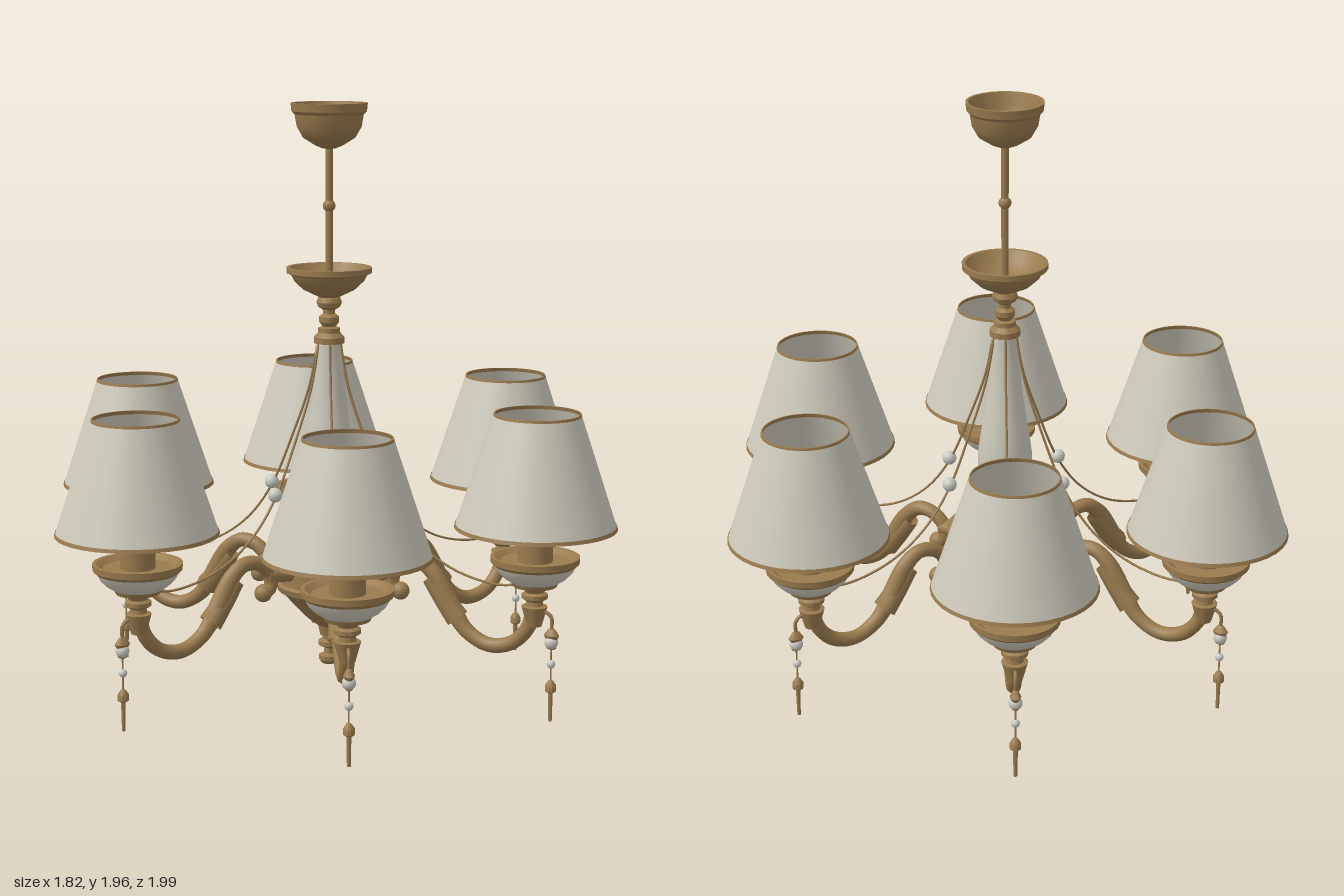
import * as THREE from 'three';
import { toCreasedNormals } from 'three/addons/utils/BufferGeometryUtils.js';

const mat = (name, color) => {
  const m = new THREE.MeshStandardMaterial({ color, side: THREE.DoubleSide });
  m.name = name;
  return m;
};

export function createModel() {
  const brass = mat('antique brass', 0x9a7b4e);
  const cream = mat('cream fabric and porcelain', 0xcdcabb);
  const crystal = mat('crystal and glass', 0xcacac4);

  const add = (parent, name, geo, material, x = 0, y = 0, z = 0) => {
    const mesh = new THREE.Mesh(geo, material);
    mesh.name = name;
    mesh.position.set(x, y, z);
    parent.add(mesh);
    return mesh;
  };
  // Turned part from [radius, height] pairs, listed bottom to top on the outside
  const lathe = (pts, sides = 28) =>
    toCreasedNormals(new THREE.LatheGeometry(pts.map(p => new THREE.Vector2(p[0], p[1])), sides), 0.6);
  // Curve in the x-y plane
  const curve = pts => new THREE.CatmullRomCurve3(pts.map(p => new THREE.Vector3(p[0], p[1], 0)));
  // Tube whose radius follows a rule along its length
  const taperedTube = (path, segs, sides, radius) => {
    const geo = new THREE.TubeGeometry(path, segs, 1, sides);
    const pos = geo.attributes.position, v = new THREE.Vector3();
    for (let i = 0; i < pos.count; i++) {
      const t = Math.floor(i / (sides + 1)) / segs;
      const c = path.getPointAt(t);
      v.fromBufferAttribute(pos, i).sub(c).multiplyScalar(radius(t)).add(c);
      pos.setXYZ(i, v.x, v.y, v.z);
    }
    return geo;
  };

  const model = new THREE.Group();
  model.name = 'chandelier';
  const column = new THREE.Group();
  column.name = 'centralColumn';
  column.position.set(-0.003, 0, -0.012);
  model.add(column);

  // Ceiling canopy, an open cup
  add(column, 'canopy', lathe([[0, 1.81], [0.02, 1.81], [0.045, 1.82], [0.085, 1.845], [0.105, 1.88],
    [0.112, 1.92], [0.122, 1.93], [0.125, 1.957], [0.116, 1.957], [0.105, 1.92], [0.095, 1.88],
    [0.07, 1.85], [0, 1.835]]), brass);
  add(column, 'rod', new THREE.CylinderGeometry(0.012, 0.012, 0.48, 12), brass, 0, 1.58, 0);
  add(column, 'rodKnob', new THREE.SphereGeometry(0.021, 12, 8), brass, 0, 1.625, 0);

  // Upper dish and its turned neck
  add(column, 'upperDish', lathe([[0.03, 1.325], [0.05, 1.335], [0.085, 1.352], [0.115, 1.38], [0.125, 1.4],
    [0.14, 1.407], [0.14, 1.425], [0.128, 1.425], [0.105, 1.39], [0.07, 1.362], [0, 1.355]]), brass);
  add(column, 'neck', lathe([[0.05, 1.175], [0.05, 1.195], [0.036, 1.21], [0.036, 1.225], [0.022, 1.23],
    [0.033, 1.245], [0.033, 1.262], [0.02, 1.272], [0.02, 1.285], [0.036, 1.295], [0.042, 1.31],
    [0.036, 1.325], [0.02, 1.335]]), brass);

  // Porcelain baluster
  add(column, 'vase', lathe([[0.03, 0.625], [0.052, 0.635], [0.078, 0.67], [0.09, 0.72], [0.09, 0.76],
    [0.08, 0.83], [0.067, 0.91], [0.055, 1.0], [0.047, 1.09], [0.043, 1.18]]), cream);
  add(column, 'vaseFoot', lathe([[0.045, 0.535], [0.03, 0.555], [0.022, 0.575], [0.038, 0.585], [0.04, 0.605],
    [0.028, 0.612], [0.05, 0.622], [0.05, 0.635], [0.03, 0.638]]), brass);

  // Hub with domed lid, straight band, bowl and finial
  add(column, 'hub', lathe([[0.03, 0.185], [0.038, 0.22], [0.06, 0.235], [0.09, 0.262], [0.125, 0.3],
    [0.155, 0.335], [0.172, 0.345], [0.178, 0.365], [0.165, 0.372], [0.165, 0.455], [0.198, 0.468],
    [0.198, 0.482], [0.16, 0.49], [0.13, 0.515], [0.1, 0.53], [0.06, 0.545], [0, 0.552]]), brass);
  add(column, 'finial', lathe([[0, 0.085], [0.025, 0.088], [0.034, 0.1], [0.034, 0.115], [0.018, 0.122],
    [0.016, 0.14], [0.036, 0.15], [0.036, 0.165], [0.022, 0.172], [0.022, 0.19]]), brass);

  // Shared geometry for the six arms (each built along +x)
  const R = 0.737;
  const armPath = curve([[0.262, 0.365], [0.236, 0.385], [0.24, 0.43], [0.28, 0.468], [0.335, 0.475],
    [0.385, 0.44], [0.44, 0.35], [0.5, 0.265], [0.58, 0.226], [0.66, 0.243], [0.715, 0.3], [R, 0.38]]);
  const armGeo = taperedTube(armPath, 56, 10, t => 0.024 + 0.008 * Math.exp(-(((t - 0.42) / 0.12) ** 2)));
  const leafGeo = taperedTube(curve([[0.37, 0.425], [0.42, 0.36], [0.47, 0.3]]), 8, 8, t => 0.028 + 0.012 * t);
  const hangerGeo = new THREE.TubeGeometry(curve([[0.73, 0.37], [0.77, 0.362], [0.795, 0.345], [0.797, 0.3]]), 12, 0.006, 6);
  const swagGeo = new THREE.TubeGeometry(curve([[0.04, 1.185], [0.072, 1.03], [0.135, 0.86], [0.215, 0.68],
    [0.3, 0.565], [0.4, 0.488], [0.5, 0.447], [0.62, 0.43], [0.72, 0.45]]), 40, 0.004, 6);
  const socketGeo = lathe([[0.024, 0.31], [0.042, 0.375], [0.028, 0.378], [0.026, 0.392], [0.042, 0.402],
    [0.042, 0.415], [0.03, 0.422], [0.036, 0.432], [0.07, 0.442], [0.078, 0.458]]);
  const bowlGeo = lathe([[0.076, 0.455], [0.1, 0.47], [0.12, 0.49], [0.131, 0.512]]);
  const rimGeo = lathe([[0.128, 0.508], [0.142, 0.52], [0.143, 0.54], [0.13, 0.54], [0.11, 0.525], [0, 0.522]]);
  const candleGeo = new THREE.CylinderGeometry(0.056, 0.056, 0.23, 20);
  const bulbGeo = lathe([[0.022, 0.75], [0.03, 0.775], [0.046, 0.805], [0.05, 0.83], [0.043, 0.858], [0.025, 0.878], [0, 0.885]], 20);
  const shadeGeo = new THREE.CylinderGeometry(0.138, 0.257, 0.362, 36, 1, true);
  const trimTopGeo = lathe([[0.1405, 0.99], [0.138, 1.002], [0.134, 1.002], [0.137, 0.99]], 36);
  const trimBottomGeo = lathe([[0.254, 0.633], [0.26, 0.633], [0.2565, 0.645]], 36);
  const dropGeo = lathe([[0, 0.235], [0.016, 0.242], [0.018, 0.27], [0.026, 0.285], [0.012, 0.305], [0, 0.31]], 10);
  const capGeo = lathe([[0.009, 0.095], [0.018, 0.1], [0.018, 0.12], [0.008, 0.135], [0, 0.138]], 10);
  const beadGeo = new THREE.SphereGeometry(1, 14, 10);

  // Arm directions in degrees, clockwise seen from above
  const angles = [-88.1, -27.4, 31.3, 90.4, 152, 211.4];
  angles.forEach((deg, i) => {
    const arm = new THREE.Group();
    arm.name = 'arm' + (i + 1);
    arm.position.copy(column.position);
    arm.rotation.y = -deg * Math.PI / 180;
    model.add(arm);

    const bead = (name, r, x, y) => add(arm, name, beadGeo, crystal, x, y).scale.setScalar(r);

    // Curved arm, scroll end, leaf sleeve and joint to the hub
    add(arm, 'scrollArm', armGeo, brass);
    add(arm, 'scrollEnd', beadGeo, brass, 0.264, 0.368).scale.setScalar(0.03);
    add(arm, 'leafSleeve', leafGeo, brass);
    add(arm, 'hubJoint', new THREE.CylinderGeometry(0.026, 0.034, 0.1, 12), brass, 0.2, 0.425).rotation.z = -Math.PI / 2;

    // Cup and candle
    add(arm, 'socket', socketGeo, brass, R);
    add(arm, 'cupBowl', bowlGeo, cream, R);
    add(arm, 'cupRim', rimGeo, brass, R);
    add(arm, 'candle', candleGeo, brass, R, 0.635);
    add(arm, 'bulb', bulbGeo, crystal, R);

    // Lampshade
    add(arm, 'shade', shadeGeo, cream, R, 0.818);
    add(arm, 'shadeTopTrim', trimTopGeo, brass, R);
    add(arm, 'shadeBottomTrim', trimBottomGeo, brass, R);

    // Swag wire with its bead
    add(arm, 'swagWire', swagGeo, brass);
    bead('swagBead', 0.024, 0.215, 0.69);

    // Hanging pendant
    add(arm, 'pendantHook', hangerGeo, brass);
    add(arm, 'pendantDrop', dropGeo, brass, 0.797).scale.z = 0.7;
    bead('pendantUpperBead', 0.022, 0.797, 0.262);
    bead('pendantLowerBead', 0.014, 0.797, 0.19);
    add(arm, 'pendantCord', new THREE.CylinderGeometry(0.003, 0.003, 0.12, 5), brass, 0.797, 0.185);
    add(arm, 'pendantCap', capGeo, brass, 0.797);
    add(arm, 'pendantSpike', new THREE.CylinderGeometry(0.008, 0.006, 0.105, 8), brass, 0.797, 0.0525);
  });
  return model;
}
